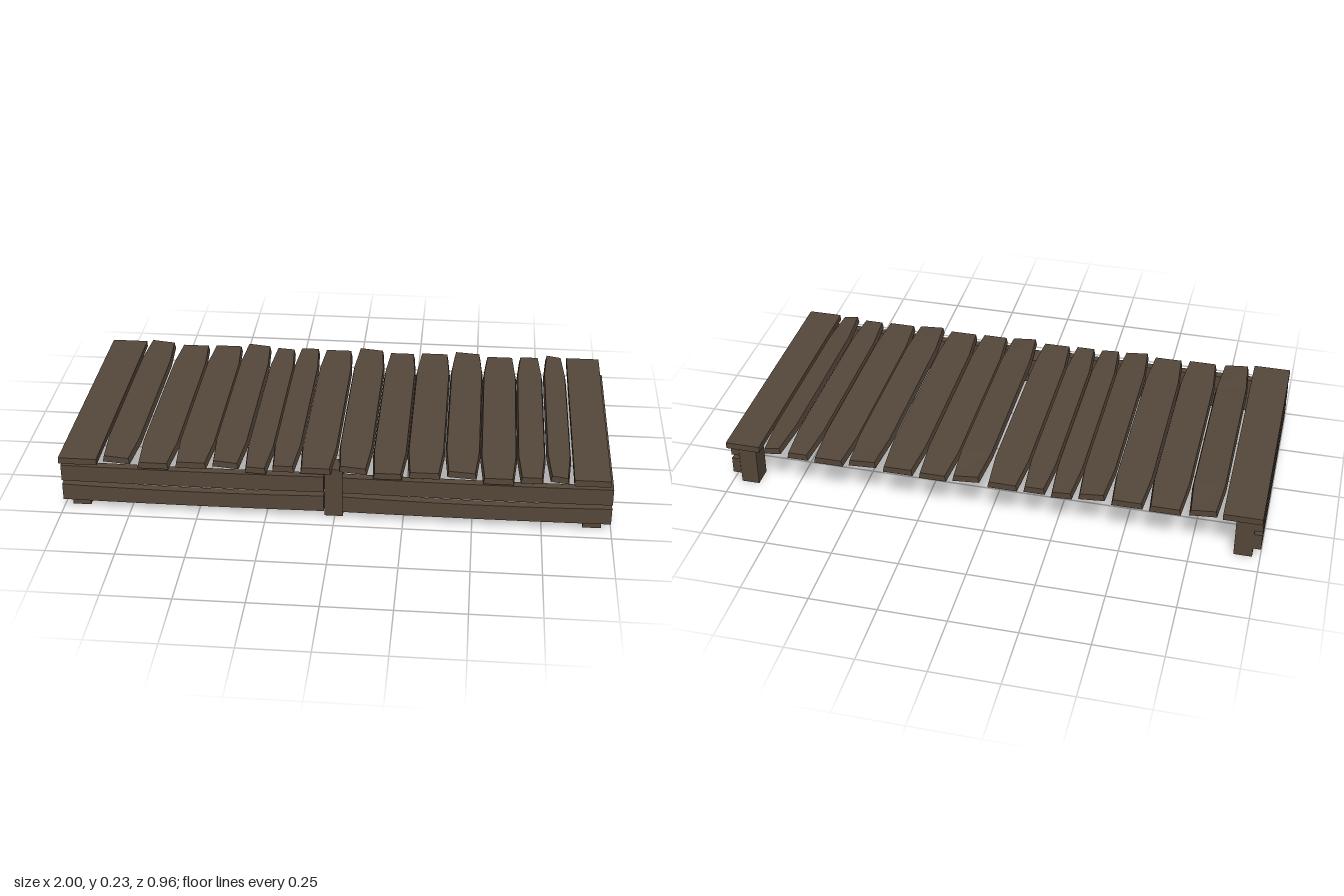
import * as THREE from 'three';

const wood = new THREE.MeshStandardMaterial({ color: 0x55473a });
wood.name = 'darkWood';

// Board along z, cut into segments so a rule can shape its edges
function board(name, width, height, length, rule) {
  const geo = new THREE.BoxGeometry(width, height, length, 1, 1, 6);
  const pos = geo.attributes.position;
  const v = new THREE.Vector3();
  for (let i = 0; i < pos.count; i++) {
    v.fromBufferAttribute(pos, i);
    rule(v, v.z / (length / 2));
    pos.setXYZ(i, v.x, v.y, v.z);
  }
  const flat = geo.toNonIndexed();
  flat.computeVertexNormals();
  const mesh = new THREE.Mesh(flat, wood);
  mesh.name = name;
  return mesh;
}

export function createModel() {
  const model = new THREE.Group();
  model.name = 'woodenPlatform';

  // Deck planks: x start, x end, front z, centre height, sideways tilt
  const planks = [
    [-1.0, -0.86, 0.48, 0.21, 0],
    [-0.852, -0.73, 0.46, 0.212, -0.004],
    [-0.724, -0.588, 0.47, 0.2, 0],
    [-0.588, -0.452, 0.46, 0.203, 0],
    [-0.452, -0.333, 0.46, 0.212, -0.004],
    [-0.333, -0.233, 0.47, 0.2, -0.002],
    [-0.235, -0.133, 0.46, 0.205, 0],
    [-0.133, 0, 0.46, 0.202, 0],
    [0.006, 0.13, 0.46, 0.212, -0.004],
    [0.13, 0.256, 0.47, 0.199, 0],
    [0.256, 0.392, 0.46, 0.203, 0],
    [0.394, 0.522, 0.46, 0.212, -0.003],
    [0.522, 0.655, 0.47, 0.199, 0],
    [0.655, 0.758, 0.46, 0.203, 0],
    [0.76, 0.85, 0.46, 0.211, -0.004],
    [0.856, 0.985, 0.47, 0.207, 0],
  ];
  const deck = new THREE.Group();
  deck.name = 'deck';
  planks.forEach(([x0, x1, front, y, tilt], i) => {
    const w = x1 - x0;
    const square = i === 0 || i === planks.length - 1;
    const plank = board('deckPlank', w, 0.024, front + 0.483, (v, t) => {
      const side = Math.sign(v.x);
      // Worn ends are narrower, and the top edges are eased
      if (!square) {
        if (Math.abs(t) > 0.99) v.x -= side * 0.012;
        if (v.y > 0) v.x -= side * 0.005;
      }
      v.y += side * tilt;
    });
    plank.position.set((x0 + x1) / 2, y, (front - 0.483) / 2);
    deck.add(plank);
  });
  model.add(deck);

  // Posts: three along the front, two at the back corners
  for (const [x, z] of [[-0.938, 0.394], [-0.004, 0.394], [0.932, 0.394], [-0.938, -0.382], [0.932, -0.382]]) {
    const post = new THREE.Mesh(new THREE.BoxGeometry(0.067, 0.196, 0.078), wood);
    post.name = 'post';
    post.position.set(x, 0.098, z);
    model.add(post);
  }

  // Rails with slightly hollowed top edges
  const levels = [['lowerRail', 0.07, 0.008], ['upperRail', 0.15, 0.003]];
  for (const [name, y, dip] of levels) {
    const rail = (length) => board(name, 0.031, 0.064, length, (v, t) => {
      if (v.y > 0) v.y -= dip * (1 - t * t);
      else v.y -= 0.003 * (1 - t * t);
    });
    // Side rails
    for (const x of [-0.985, 0.982]) {
      const side = rail(0.853);
      side.position.set(x, y, 0.006);
      model.add(side);
    }
    // Front rails, one on each side of the middle post
    for (const [x0, x1] of [[-0.998, -0.037], [0.029, 0.997]]) {
      const front = rail(x1 - x0);
      front.rotation.y = Math.PI / 2;
      front.position.set((x0 + x1) / 2, y, 0.449);
      model.add(front);
    }
  }
  return model;
}
